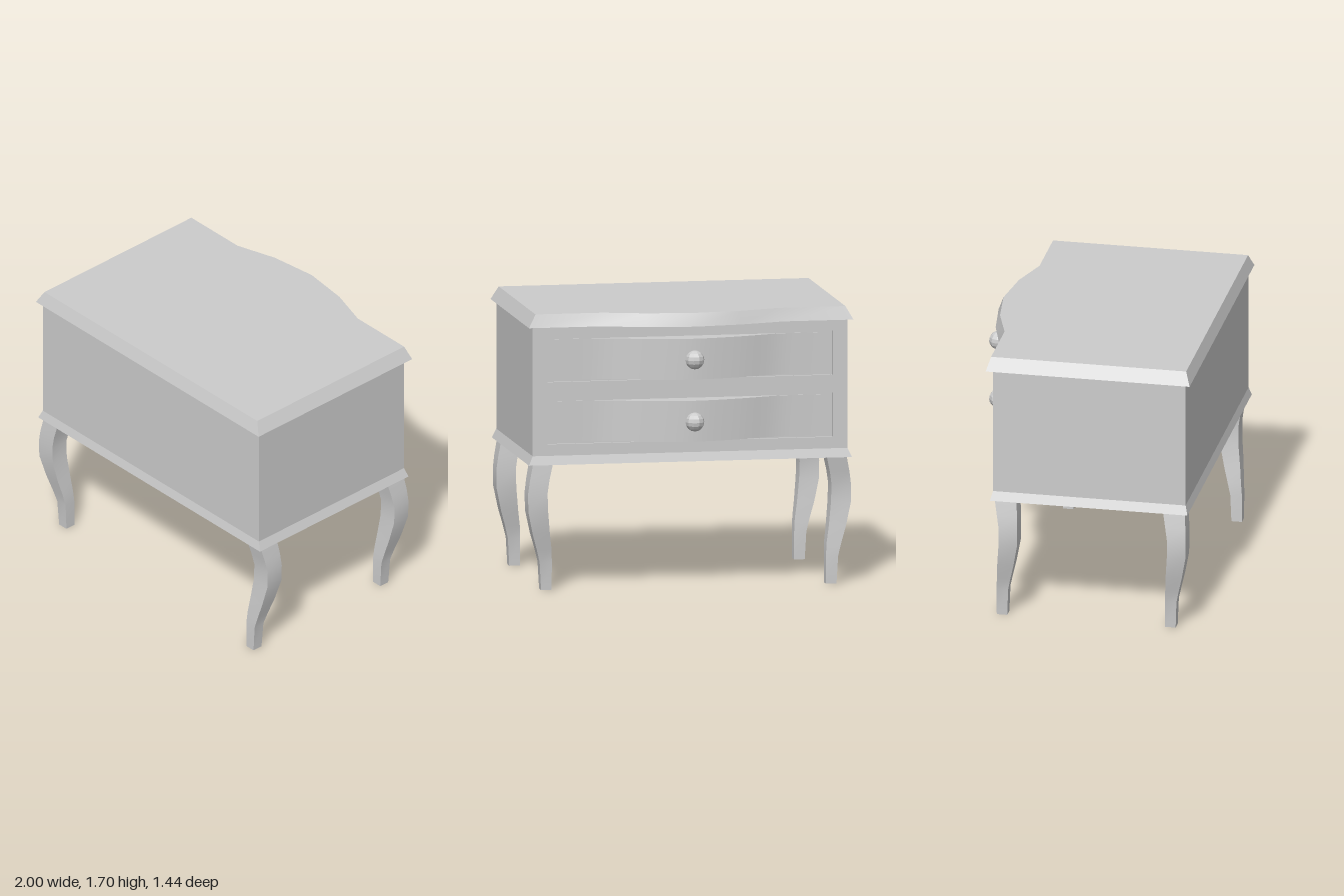
import * as THREE from 'three';
import { toCreasedNormals } from 'three/addons/utils/BufferGeometryUtils.js';

const material = new THREE.MeshStandardMaterial({ color: 0xcccccc });

function part(name, geometry, parent, mat = material) {
  const mesh = new THREE.Mesh(geometry, mat);
  mesh.name = name;
  parent.add(mesh);
  return mesh;
}

// Closed solid through horizontal rings, bottom to top: { y, pts: [[x, z], ...] }
function loft(rings) {
  const pos = [];
  const put = (ring, i) => pos.push(ring.pts[i][0], ring.y, ring.pts[i][1]);
  const n = rings[0].pts.length;
  for (let r = 0; r < rings.length - 1; r++) {
    const lo = rings[r], hi = rings[r + 1];
    for (let i = 0; i < n; i++) {
      const j = (i + 1) % n;
      put(lo, i); put(lo, j); put(hi, j);
      put(lo, i); put(hi, j); put(hi, i);
    }
  }
  const cap = (ring, flip) => {
    const outline = ring.pts.map(([x, z]) => new THREE.Vector2(x, -z));
    for (const [a, b, c] of THREE.ShapeUtils.triangulateShape(outline, [])) {
      (flip ? [a, c, b] : [a, b, c]).forEach((i) => put(ring, i));
    }
  };
  cap(rings[0], true);
  cap(rings[rings.length - 1], false);
  const geo = new THREE.BufferGeometry();
  geo.setAttribute('position', new THREE.Float32BufferAttribute(pos, 3));
  return toCreasedNormals(geo, 0.45);
}

// Counter-clockwise rectangle seen from above
const rect = (x0, x1, z0, z1) => [[x0, z1], [x1, z1], [x1, z0], [x0, z0]];

// Top outline with a bowed drawer side
function topOutline(w, zPlus, zSide, bowX, zMid, zBow) {
  return [[-w, zPlus], [w, zPlus], [w, zSide], [bowX, zSide], [0.29, zMid], [0, zBow],
    [-0.29, zMid], [-bowX, zSide], [-w, zSide]];
}

// Drawer outline: straight back, wavy front
function drawerOutline() {
  const half = [[0.87, -0.485], [0.7, -0.486], [0.52, -0.5], [0.28, -0.572]];
  const knots = [...half, [0, -0.615], ...half.map(([x, z]) => [-x, z]).reverse()];
  const curve = new THREE.SplineCurve(knots.map(([x, z]) => new THREE.Vector2(x, z)));
  return [[-0.87, -0.46], [0.87, -0.46], ...curve.getPoints(32).map((p) => [p.x, p.y])];
}

// S-curved leg, stations: y, x range, z range
const legStations = [
  [0, 0.84, 0.905, 0.61, 0.675],
  [0.17, 0.84, 0.915, 0.603, 0.675],
  [0.25, 0.845, 0.936, 0.585, 0.668],
  [0.35, 0.86, 0.966, 0.56, 0.66],
  [0.49, 0.876, 0.998, 0.532, 0.646],
  [0.6, 0.88, 1.0, 0.53, 0.645],
  [0.68, 0.868, 0.988, 0.533, 0.658],
  [0.79, 0.842, 0.965, 0.543, 0.678],
];

export function createModel() {
  const group = new THREE.Group();
  group.name = 'nightstand';

  // Carcass
  const body = part('body', new THREE.BoxGeometry(1.94, 0.82, 1.17), group);
  body.position.set(0, 1.22, 0.105);

  // Face frame with two drawer openings
  const drawerRows = [[0.91, 1.16], [1.29, 1.54]];
  const box = (Type, x, y0, y1) => new Type([[-x, y0], [x, y0], [x, y1], [-x, y1]]
    .map(([px, py]) => new THREE.Vector2(px, py)));
  const frame = box(THREE.Shape, 0.97, 0.81, 1.63);
  drawerRows.forEach(([y0, y1]) => frame.holes.push(box(THREE.Path, 0.88, y0 - 0.01, y1 + 0.01)));
  const frameGeo = new THREE.ExtrudeGeometry(frame, { depth: 0.02, bevelEnabled: false });
  part('faceFrame', frameGeo, group).position.z = -0.5;

  // Bevelled top and base moulding
  part('top', loft([
    { y: 1.62, pts: topOutline(1, 0.72, -0.54, 0.57, -0.62, -0.66) },
    { y: 1.7, pts: topOutline(0.955, 0.69, -0.515, 0.54, -0.593, -0.63) },
  ]), group);
  part('baseMoulding', loft([
    { y: 0.775, pts: rect(-0.995, 0.995, -0.515, 0.705) },
    { y: 0.83, pts: rect(-0.97, 0.97, -0.5, 0.69) },
  ]), group);

  // Drawers with faceted knobs
  const knobMaterial = material.clone();
  knobMaterial.flatShading = true;
  const outline = drawerOutline();
  drawerRows.forEach(([y0, y1]) => {
    const drawer = new THREE.Group();
    drawer.name = 'drawer';
    group.add(drawer);
    part('drawerFront', loft([{ y: y0, pts: outline }, { y: y1, pts: outline }]), drawer);
    const knob = part('knob', new THREE.SphereGeometry(0.058, 10, 8), drawer, knobMaterial);
    knob.position.set(0, (y0 + y1) / 2 + 0.002, -0.66);
  });

  // Legs: the left pair is the right pair turned half round
  const legGeo = loft(legStations.map(([y, x0, x1, z0, z1]) => ({ y, pts: rect(x0, x1, z0, z1) })));
  for (const shift of [0, -1.04]) {
    part('rightLeg', legGeo, group).position.z = shift;
    const left = part('leftLeg', legGeo, group);
    left.rotation.y = Math.PI;
    left.position.z = 1.225 + shift;
  }

  return group;
}
